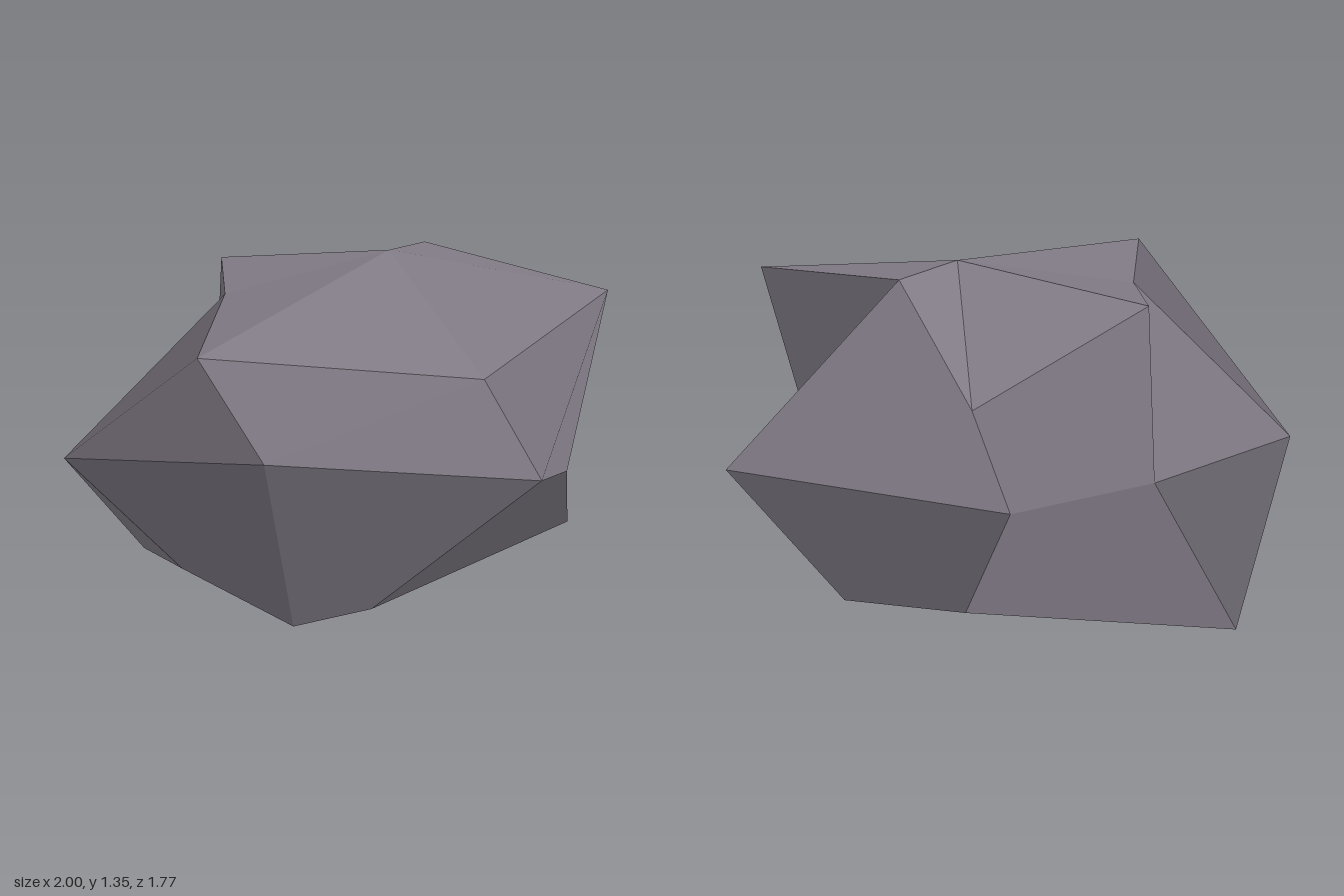
import * as THREE from 'three';

// Three rings of seven corners, counted from the front towards +x
const RINGS = [
  // lower ring
  [[-0.055, 0.10, 0.51], [0.22, 0.155, 0.425], [0.915, 0.285, -0.2], [0.46, 0.175, -0.70],
    [-0.02, 0.23, -0.745], [-0.89, 0, -0.195], [-0.525, 0.21, 0.352]],
  // middle ring
  [[-0.10, 0.81, 0.705], [0.80, 0.81, 0.665], [0.895, 0.555, -0.07], [0.78, 0.72, -0.88],
    [-0.23, 0.70, -0.89], [-0.58, 0.607, -0.313], [-1.0, 0.605, 0.29]],
  // upper ring
  [[-0.255, 1.22, 0.885], [0.59, 1.06, 0.425], [0.995, 1.245, -0.172], [0.27, 1.33, -0.533],
    [-0.08, 1.0, -0.81], [-0.547, 1.265, -0.38], [-0.40, 1.225, 0.08]],
];
const BOTTOM = [0.035, 0.03, -0.02];
const TOP = [0.163, 1.345, -0.26];

// Facets joined ring to ring; each facet keeps one normal over its triangles
function facetedGeometry(rings, bottom, top) {
  const positions = [];
  const normals = [];
  const addFacet = (...corners) => {
    const p = corners.map((c) => new THREE.Vector3(...c));
    const last = p[p.length - 1];
    const normal = p[2].clone().sub(p[0]).cross(last.clone().sub(p[1])).normalize();
    for (let k = 1; k < p.length - 1; k++) {
      for (const v of [p[0], p[k], p[k + 1]]) {
        positions.push(v.x, v.y, v.z);
        normals.push(normal.x, normal.y, normal.z);
      }
    }
  };

  const n = rings[0].length;
  const lowest = rings[0];
  const highest = rings[rings.length - 1];
  for (let i = 0; i < n; i++) {
    const j = (i + 1) % n;
    addFacet(bottom, lowest[j], lowest[i]);
    for (let r = 0; r < rings.length - 1; r++) {
      addFacet(rings[r][i], rings[r][j], rings[r + 1][j], rings[r + 1][i]);
    }
    addFacet(highest[i], highest[j], top);
  }

  const geometry = new THREE.BufferGeometry();
  geometry.setAttribute('position', new THREE.Float32BufferAttribute(positions, 3));
  geometry.setAttribute('normal', new THREE.Float32BufferAttribute(normals, 3));
  return geometry;
}

export function createModel() {
  const stone = new THREE.MeshStandardMaterial({ color: 0x7f7984 });
  stone.name = 'stone';

  const rock = new THREE.Mesh(facetedGeometry(RINGS, BOTTOM, TOP), stone);
  rock.name = 'rock';

  const model = new THREE.Group();
  model.name = 'boulder';
  model.add(rock);
  return model;
}
